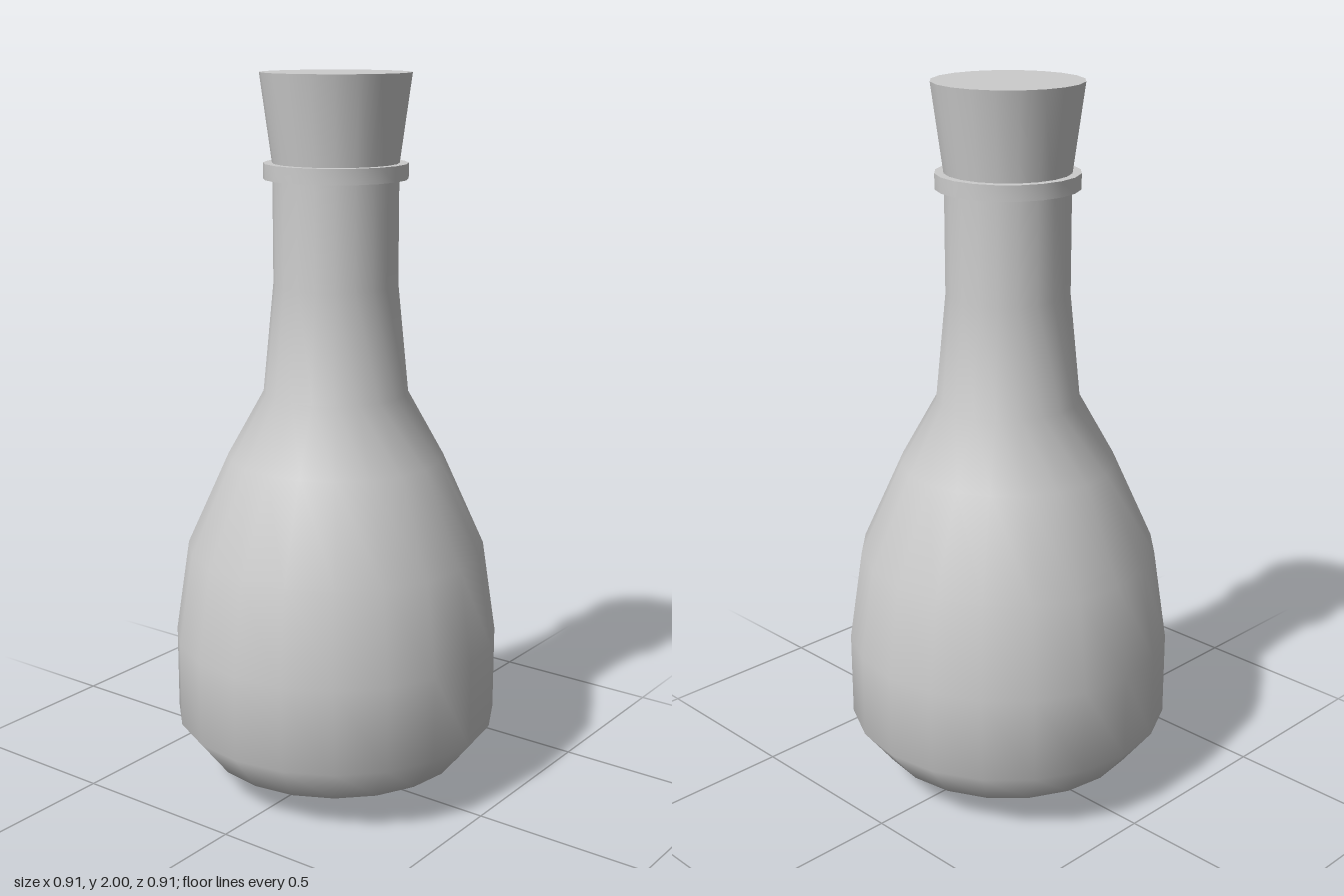
import * as THREE from 'three';
import { toCreasedNormals } from 'three/addons/utils/BufferGeometryUtils.js';

const SIDES = 20;

export function createModel() {
  const bottle = new THREE.Group();
  bottle.name = 'corkedBottle';
  const material = new THREE.MeshStandardMaterial({ color: 0xcccccc });

  // Turns a profile of [radius, height] points around the y axis
  const turned = (name, profile, crease) => {
    const points = profile.map(([r, y]) => new THREE.Vector2(r, y));
    let geometry = new THREE.LatheGeometry(points, SIDES);
    if (crease) geometry = toCreasedNormals(geometry, crease);
    const mesh = new THREE.Mesh(geometry, material);
    mesh.name = name;
    bottle.add(mesh);
  };

  // Smooth flask body, shoulder and neck
  turned('body', [
    [0, 0], [0.185, 0.005], [0.37, 0.09], [0.456, 0.2], [0.456, 0.44],
    [0.417, 0.7], [0.3, 0.96], [0.2, 1.14], [0.17, 1.44], [0.17, 1.765],
  ]);

  // Flat collar around the mouth
  turned('neckRing', [
    [0.165, 1.722], [0.195, 1.722], [0.195, 1.764], [0.165, 1.764], [0.165, 1.722],
  ], 0.7);

  // Tapered stopper set into the neck
  turned('stopper', [
    [0, 1.7], [0.162, 1.7], [0.203, 2], [0, 2],
  ], 0.7);

  return bottle;
}
